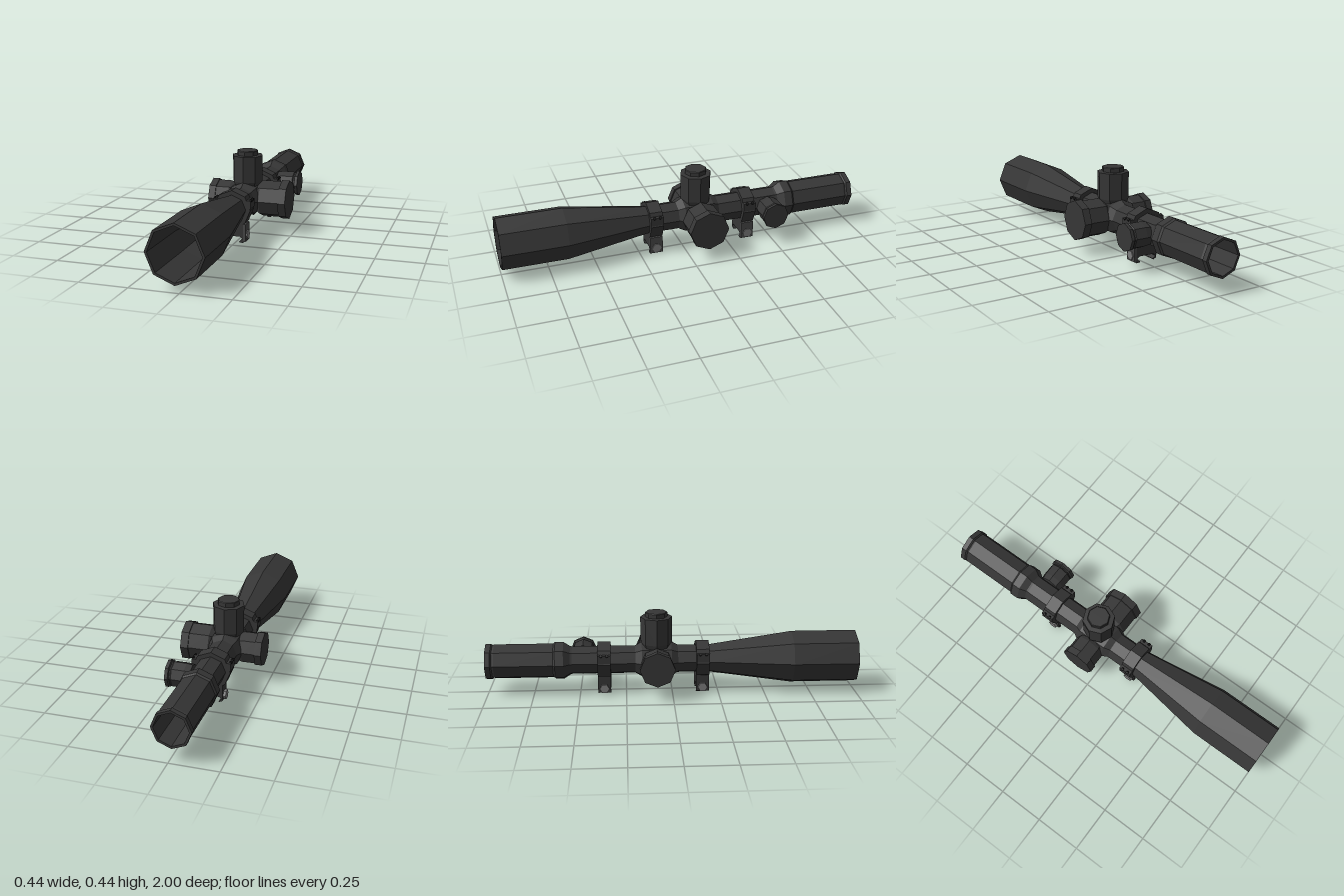
import * as THREE from 'three';

const AX = -0.02, AY = 0.18; // optical axis
const TZ = -0.085;           // turret position along the axis

const material = (name, color) => {
  const m = new THREE.MeshStandardMaterial({ color });
  m.name = name;
  return m;
};

export function createModel() {
  const scope = new THREE.Group();
  scope.name = 'rifleScope';
  const body = material('matteCharcoal', 0x363636);
  const clampGray = material('clampGray', 0x484848);
  const steel = material('boltSteel', 0x7c7c7c);
  const black = material('nearBlack', 0x161616);

  const add = (name, geometry, mat, parent = scope) => {
    const flat = geometry.index ? geometry.toNonIndexed() : geometry;
    flat.computeVertexNormals();
    const mesh = new THREE.Mesh(flat, mat);
    mesh.name = name;
    parent.add(mesh);
    return mesh;
  };
  // Faceted turned part from [radius, height] pairs
  const turned = (points, sides = 8) =>
    new THREE.LatheGeometry(points.map(([r, h]) => new THREE.Vector2(r, h)), sides);
  const alongZ = (points) => turned(points).rotateX(Math.PI / 2).translate(AX, AY, 0);
  const alongX = (points, z, sign = 1) =>
    turned(points).rotateZ(-sign * Math.PI / 2).translate(AX, AY, z);
  const box = (w, h, d, x, y, z) => new THREE.BoxGeometry(w, h, d).translate(x, y, z);

  // Hollow main tube: outside from back to front, then inside from front to back
  add('mainTube', alongZ([
    [0.087, -1], [0.1, -1], [0.1, -0.972], [0.092, -0.965], [0.096, -0.955],
    [0.096, -0.64], [0.104, -0.63], [0.104, -0.585], [0.08, -0.55], [0.078, -0.54],
    [0.078, 0.2], [0.146, 0.65], [0.146, 1], [0.133, 1],
    [0.133, 0.65], [0.067, 0.2], [0.067, -0.6], [0.087, -0.68], [0.087, -1],
  ]), body);

  // Saddle that carries the turrets
  add('turretSaddle', alongZ([
    [0.07, -0.2], [0.078, -0.2], [0.098, -0.165], [0.098, -0.005],
    [0.078, 0.03], [0.07, 0.03],
  ]), body);

  // Elevation turret
  add('elevationTurret', turned([
    [0, 0.25], [0.076, 0.25], [0.084, 0.275], [0.084, 0.39], [0.086, 0.39],
    [0.086, 0.418], [0.06, 0.42], [0.06, 0.442], [0.057, 0.445], [0, 0.445],
  ]).translate(AX, 0, TZ), body);

  // Side turrets
  add('leftTurret', alongX([
    [0, 0.068], [0.086, 0.068], [0.101, 0.09], [0.101, 0.198], [0.108, 0.198],
    [0.108, 0.24], [0, 0.24],
  ], TZ), body);
  add('rightTurret', alongX([
    [0, 0.068], [0.078, 0.068], [0.087, 0.09], [0.087, 0.163], [0.094, 0.163],
    [0.094, 0.2], [0, 0.2],
  ], TZ, -1), body);

  // Illumination knob beside the eyepiece
  add('illuminationKnob', alongX([
    [0, 0.068], [0.062, 0.068], [0.067, 0.1], [0.067, 0.165], [0.063, 0.17],
    [0.063, 0.176], [0.073, 0.18], [0.073, 0.197], [0, 0.197],
  ], -0.485), body);

  // Mount clamp section with a dovetail slot
  const clampShape = new THREE.Shape([
    [-0.08, 0.104], [-0.08, 0.012], [-0.062, 0.004], [-0.06, 0.008], [-0.075, 0.022],
    [-0.062, 0.034], [0.025, 0.034], [0.038, 0.022], [0.02, 0.006], [0.022, 0.002],
    [0.042, 0], [0.042, 0.104],
  ].map(([x, y]) => new THREE.Vector2(x, y)));

  for (const [name, z] of [['frontMount', 0.163], ['rearMount', -0.368]]) {
    const mount = new THREE.Group();
    mount.name = name;
    mount.position.z = z;
    scope.add(mount);
    add('mountRing', alongZ([
      [0.07, -0.035], [0.102, -0.035], [0.102, 0.035], [0.07, 0.035],
    ]), body, mount);
    add('mountBase', new THREE.ExtrudeGeometry(clampShape, { depth: 0.07, bevelEnabled: false })
      .translate(0, 0, -0.035), body, mount);
    add('clampPlate', box(0.014, 0.095, 0.07, 0.049, 0.0545, 0), clampGray, mount);
    add('clampBolt', new THREE.CylinderGeometry(0.026, 0.026, 0.008, 6)
      .rotateZ(Math.PI / 2).translate(0.058, 0.038, 0), steel, mount);
    add('clampNut', new THREE.CylinderGeometry(0.026, 0.026, 0.014, 6)
      .rotateZ(Math.PI / 2).translate(-0.087, 0.036, 0), steel, mount);
    for (const side of [-1, 1]) {
      // Joint lug with two screws on each side of the ring
      add('ringLug', box(0.024, 0.044, 0.07, AX + side * 0.091, 0.21, 0), body, mount);
      for (const dz of [-0.016, 0.016]) {
        add('ringScrew', new THREE.CylinderGeometry(0.008, 0.008, 0.012, 8)
          .rotateZ(-side * Math.PI / 4)
          .translate(AX + side * 0.099, 0.23, dz), black, mount);
      }
    }
  }

  // Reticle: posts, centre dots and range marks
  const reticle = new THREE.Group();
  reticle.name = 'reticle';
  reticle.position.set(AX, AY, -0.3);
  scope.add(reticle);
  const mark = (x, y, w, h) => add('reticleMark', box(w, h, 0.002, x, y, 0), black, reticle);
  mark(0, 0.047, 0.002, 0.04);
  for (const s of [-1, 1]) mark(s * 0.047, 0, 0.04, 0.002);
  for (let i = 1; i <= 4; i++) {
    mark(i * 0.006, 0, 0.0015, 0.0015);
    mark(0, -0.022 - i * 0.005, 0.003, 0.0012);
  }
  mark(-0.035, -0.04, 0.014, 0.0015);
  mark(-0.015, -0.045, 0.012, 0.0015);
  mark(0.013, -0.048, 0.012, 0.0015);
  mark(0, -0.054, 0.06, 0.0015);

  return scope;
}
